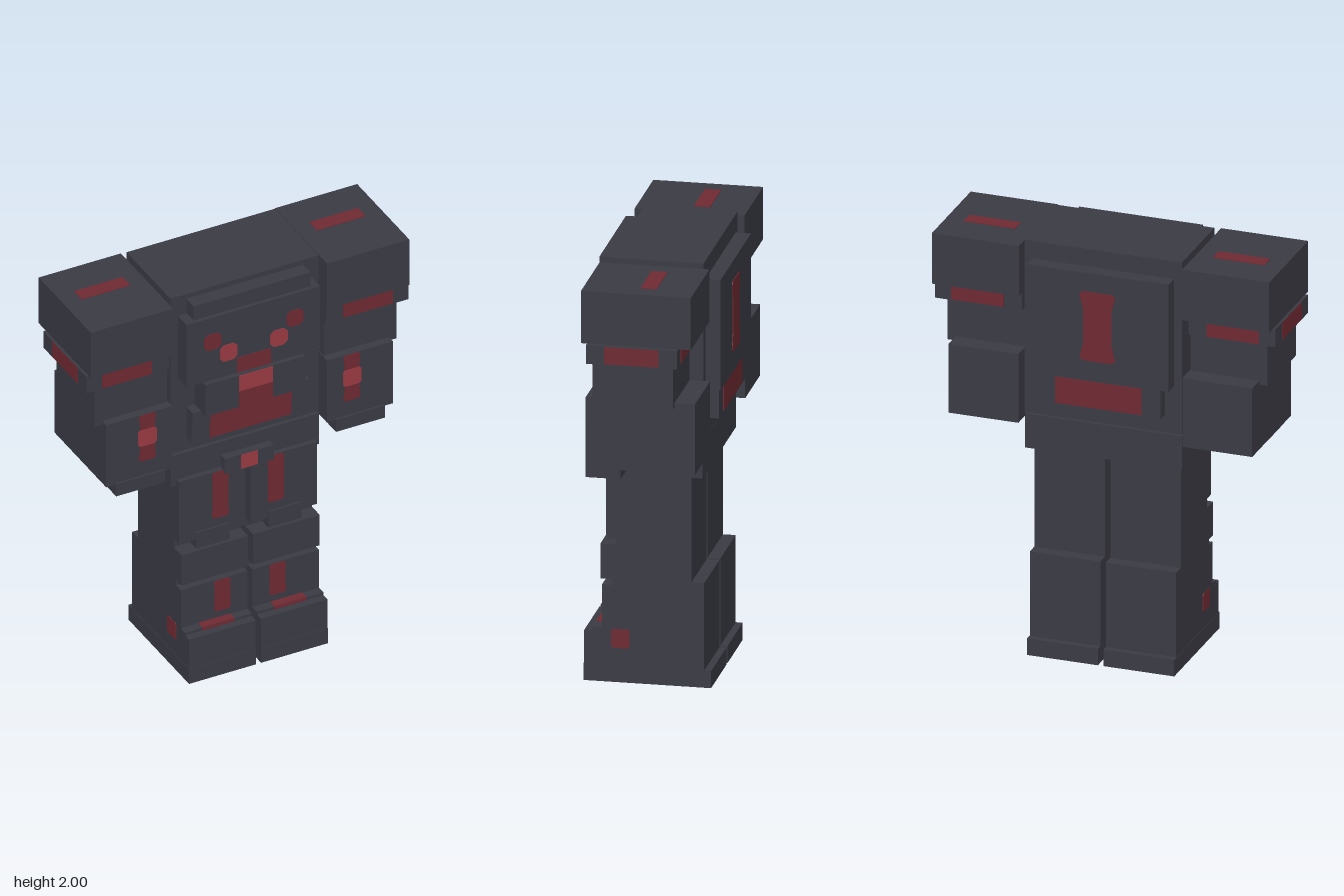
import * as THREE from 'three';

function material(name, hex) {
  const m = new THREE.MeshStandardMaterial({ color: hex });
  m.name = name;
  return m;
}

export function createModel() {
  const armour = material('charcoal armour', 0x3b3b45);
  const red = material('dark red', 0x702a33);
  const bright = material('bright red', 0x9c3a43);
  const root = new THREE.Group();
  root.name = 'blockyRobot';

  function section(name) {
    const g = new THREE.Group();
    g.name = name;
    root.add(g);
    return g;
  }

  // Box given by its limits on each axis
  function box(parent, name, [x0, x1], [y0, y1], [z0, z1]) {
    const mesh = new THREE.Mesh(new THREE.BoxGeometry(x1 - x0, y1 - y0, z1 - z0), armour);
    mesh.position.set((x0 + x1) / 2, (y0 + y1) / 2, (z0 + z1) / 2);
    mesh.name = name;
    parent.add(mesh);
  }

  // Thin plate with cut corners; u and v are its limits on the face, at is the face's depth
  const turns = {
    front: [0, 0], back: [0, Math.PI], top: [-Math.PI / 2, 0],
    left: [0, Math.PI / 2], right: [0, -Math.PI / 2],
  };
  function plate(parent, name, mat, face, [u0, u1], [v0, v1], at, cut = 0, waist = 0) {
    const w = (u1 - u0) / 2, h = (v1 - v0) / 2, c = cut, n = waist;
    const pts = [[w - c, -h], [w, -h + c], [w - n, -h / 2], [w - n, h / 2], [w, h - c], [w - c, h]];
    const all = [...pts, ...pts.map(([x, y]) => [-x, -y])];
    const shape = new THREE.Shape(all.map(([x, y]) => new THREE.Vector2(x, y)));
    const geo = new THREE.ExtrudeGeometry(shape, { depth: 0.004, bevelEnabled: false });
    geo.translate(0, 0, -0.002);
    const mesh = new THREE.Mesh(geo, mat);
    mesh.rotation.set(turns[face][0], turns[face][1], 0);
    const u = (u0 + u1) / 2, v = (v0 + v1) / 2;
    if (face === 'top') mesh.position.set(u, at, v);
    else if (face === 'left' || face === 'right') mesh.position.set(at, v, u);
    else mesh.position.set(u, v, at);
    mesh.name = name;
    parent.add(mesh);
  }

  // Torso block and stepped chest plates
  const torso = section('torso');
  box(torso, 'torsoBlock', [-0.375, 0.372], [1.165, 2], [-0.24, 0.18]);
  box(torso, 'browPlate', [-0.295, 0.293], [1.9, 1.975], [0.15, 0.25]);
  box(torso, 'chestPlate', [-0.338, 0.334], [1.562, 1.897], [0.15, 0.265]);
  box(torso, 'middlePlate', [-0.253, 0.25], [1.39, 1.56], [0.15, 0.285]);
  box(torso, 'upperBellyPlate', [-0.295, 0.292], [1.315, 1.395], [0.15, 0.24]);
  box(torso, 'lowerBellyPlate', [-0.295, 0.292], [1.23, 1.315], [0.15, 0.232]);
  box(torso, 'backPlate', [-0.338, 0.334], [1.395, 1.915], [-0.31, -0.2]);
  box(torso, 'lowerBackPlate', [-0.295, 0.292], [1.25, 1.393], [-0.295, -0.2]);

  // Chest markings
  for (const s of [-1, 1]) {
    const span = (a, b) => (s > 0 ? [a, b] : [-b, -a]);
    plate(torso, 'outerMark', red, 'front', span(0.165, 0.25), [1.725, 1.81], 0.266, 0.018);
    plate(torso, 'innerMark', bright, 'front', span(0.083, 0.17), [1.643, 1.73], 0.266, 0.018);
  }
  plate(torso, 'chestMark', red, 'front', [-0.085, 0.085], [1.563, 1.643], 0.266);
  plate(torso, 'middleBrightMark', bright, 'front', [-0.085, 0.085], [1.475, 1.558], 0.286);
  plate(torso, 'middleDarkMark', red, 'front', [-0.085, 0.085], [1.392, 1.475], 0.286);
  plate(torso, 'upperBellyMark', red, 'front', [-0.205, 0.205], [1.315, 1.387], 0.241);
  plate(torso, 'lowerBellyMark', red, 'front', [-0.205, 0.205], [1.232, 1.315], 0.233);
  plate(torso, 'spineMark', red, 'back', [-0.085, 0.085], [1.49, 1.825], -0.311, 0.015, 0.018);
  plate(torso, 'lowerBackMark', red, 'back', [-0.205, 0.205], [1.257, 1.385], -0.296);

  // Hips and belt
  const hips = section('hips');
  box(hips, 'hipBlock', [-0.375, 0.372], [0.99, 1.155], [-0.235, 0.185]);
  box(hips, 'beltBar', [-0.125, 0.122], [1.008, 1.086], [0.15, 0.225]);
  plate(hips, 'beltMark', bright, 'front', [-0.043, 0.04], [1.01, 1.084], 0.226);

  for (const s of [-1, 1]) {
    const side = s > 0 ? 'left' : 'right';
    const span = (a, b) => (s > 0 ? [a, b] : [-b, -a]);

    // Arm
    const arm = section(side + 'Arm');
    box(arm, 'shoulderJoint', span(0.36, 0.4), [1.64, 1.89], [-0.15, 0.13]);
    box(arm, 'shoulder', span(0.388, 0.802), [1.735, 1.98], [-0.27, 0.23]);
    box(arm, 'armBand', span(0.395, 0.81), [1.642, 1.73], [-0.21, 0.205]);
    box(arm, 'upperArm', span(0.395, 0.76), [1.435, 1.74], [-0.18, 0.185]);
    box(arm, 'forearm', span(0.39, 0.722), [1.122, 1.455], [-0.273, 0.225]);
    box(arm, 'hand', span(0.43, 0.677), [1.065, 1.13], [0.075, 0.235]);
    plate(arm, 'shoulderMark', red, 'top', span(0.47, 0.715), [-0.097, -0.023], 1.981);
    plate(arm, 'bandFrontMark', red, 'front', span(0.482, 0.732), [1.646, 1.727], 0.206);
    plate(arm, 'bandBackMark', red, 'back', span(0.482, 0.732), [1.646, 1.727], -0.211);
    plate(arm, 'bandSideMark', red, side, [-0.125, 0.122], [1.646, 1.727], s * 0.81);
    plate(arm, 'forearmMark', red, 'front', span(0.473, 0.557), [1.207, 1.453], 0.226, 0.01, 0.005);
    plate(arm, 'forearmBrightMark', bright, 'front', span(0.47, 0.562), [1.288, 1.375], 0.228, 0.01);

    // Leg
    const leg = section(side + 'Leg');
    const full = span(0.013, 0.348);
    box(leg, 'legCore', full, [0.2, 1.02], [-0.18, 0.16]);
    box(leg, 'thighPlate', full, [0.69, 1.023], [0.1, 0.21]);
    box(leg, 'kneeTab', span(0.098, 0.265), [0.63, 0.73], [0.1, 0.218]);
    box(leg, 'upperShin', full, [0.482, 0.645], [0.1, 0.235]);
    box(leg, 'shinGap', full, [0.44, 0.49], [0.1, 0.182]);
    box(leg, 'lowerShin', full, [0.2, 0.453], [0.1, 0.228]);
    box(leg, 'calf', full, [0, 0.49], [-0.238, -0.1]);
    box(leg, 'ankleStep', full, [0.2, 0.25], [0.1, 0.27]);
    box(leg, 'foot', full, [0.06, 0.235], [-0.238, 0.308]);
    box(leg, 'sole', span(0.013, 0.35), [0, 0.08], [-0.27, 0.311]);
    plate(leg, 'thighMark', red, 'front', span(0.097, 0.182), [0.773, 1.02], 0.211, 0.012, 0.003);
    plate(leg, 'shinMark', red, 'front', span(0.097, 0.182), [0.285, 0.45], 0.229, 0.012, 0.003);
    plate(leg, 'ankleMark', red, 'front', span(0.1, 0.262), [0.236, 0.249], 0.271);
    plate(leg, 'ankleTopMark', red, 'top', span(0.1, 0.262), [0.23, 0.27], 0.251);
    plate(leg, 'ankleSideMark', red, side, [0.102, 0.185], [0.16, 0.249], s * 0.349, 0.008);
  }
  return root;
}
